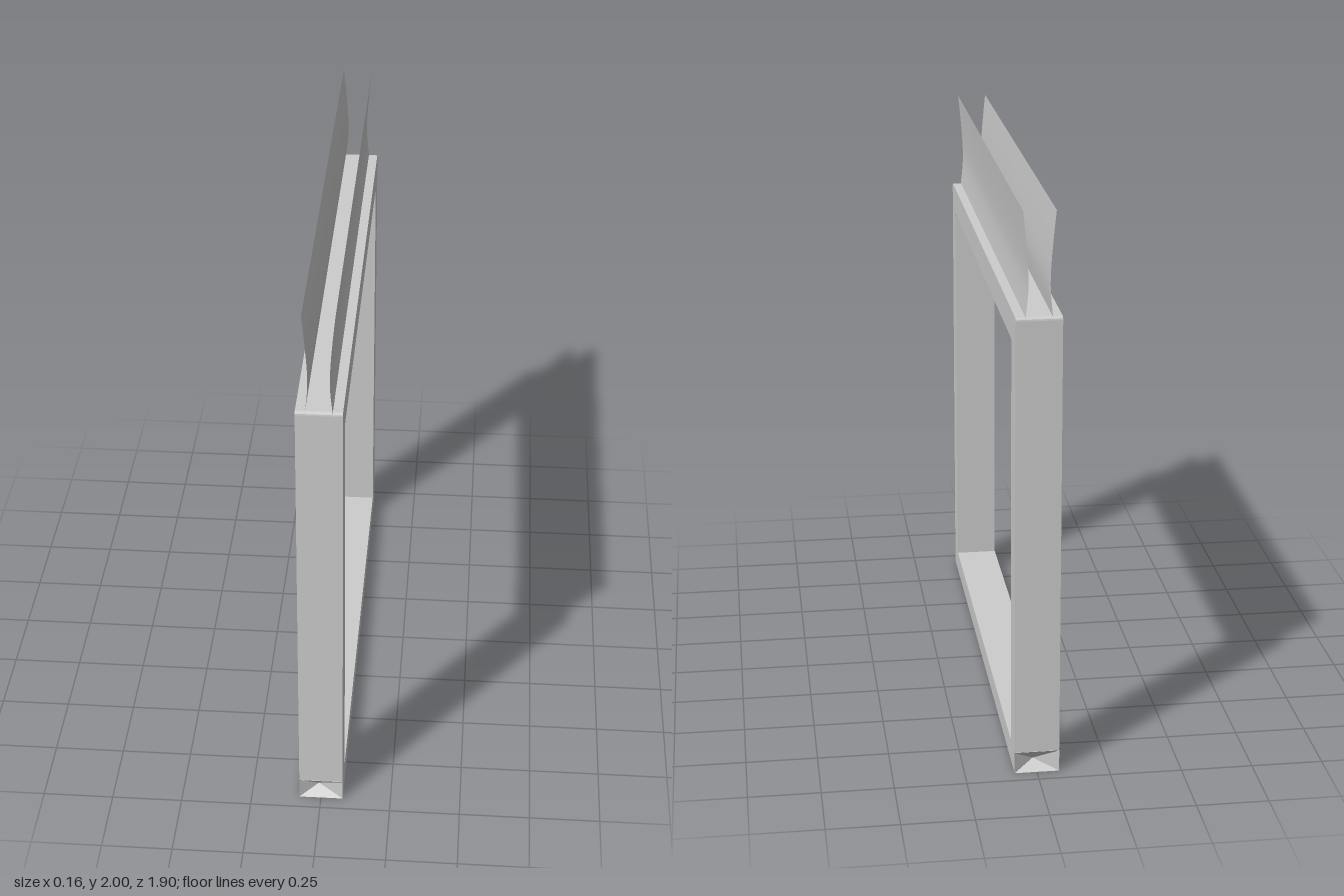
import * as THREE from 'three';

const HALF_W = 0.078;   // half thickness of the frame along x
const HALF_L = 0.946;   // half length along z
const SILL = 0.078;     // height of the bottom bar
const TOP = 1.645;

// Upright posts and top rail as one arch, drawn in (z, y) and extruded along x
function archGeometry() {
  const r = 0.012, inner = 0.845, under = 1.545;
  const s = new THREE.Shape();
  s.moveTo(-HALF_L, SILL);
  s.lineTo(-inner, SILL);
  s.lineTo(-inner, under - r);
  s.quadraticCurveTo(-inner, under, -inner + r, under);
  s.lineTo(inner - r, under);
  s.quadraticCurveTo(inner, under, inner, under - r);
  s.lineTo(inner, SILL);
  s.lineTo(HALF_L, SILL);
  s.lineTo(HALF_L, TOP - r);
  s.quadraticCurveTo(HALF_L, TOP, HALF_L - r, TOP);
  s.lineTo(-HALF_L + r, TOP);
  s.quadraticCurveTo(-HALF_L, TOP, -HALF_L, TOP - r);
  const g = new THREE.ExtrudeGeometry(s, { depth: HALF_W * 2, bevelEnabled: false, curveSegments: 4 });
  g.rotateY(-Math.PI / 2);
  g.translate(HALF_W, 0, 0);
  return g;
}

// Bottom bar: a box whose two end faces are dented inward to a point
function sillGeometry() {
  const w = HALF_W, l = HALF_L + 0.002, h = SILL;
  const p = [
    [-w, 0, l], [w, 0, l], [w, h, l], [-w, h, l],
    [-w, 0, -l], [w, 0, -l], [w, h, -l], [-w, h, -l],
    [-0.01, 0.035, l - 0.04], [0.01, 0.035, -l + 0.04],
  ];
  const quads = [[3, 2, 6, 7], [0, 4, 5, 1], [1, 5, 6, 2], [4, 0, 3, 7]];
  const tris = quads.flatMap(([a, b, c, d]) => [a, b, c, a, c, d]);
  // dented ends as fans around the inner point
  for (const [ring, tip] of [[[0, 1, 2, 3], 8], [[5, 4, 7, 6], 9]]) {
    ring.forEach((a, i) => tris.push(a, ring[(i + 1) % 4], tip));
  }
  const g = new THREE.BufferGeometry();
  g.setAttribute('position', new THREE.Float32BufferAttribute(tris.flatMap((i) => p[i]), 3));
  g.computeVertexNormals();
  return g;
}

// Thin upright sheet, pinched at mid height and flaring at the top
function flapGeometry(side) {
  const bottom = 1.635, height = 2 - bottom;
  const profile = new THREE.SplineCurve([
    new THREE.Vector2(0.046, 0), new THREE.Vector2(0.037, 0.25),
    new THREE.Vector2(0.037, 0.45), new THREE.Vector2(0.044, 0.72),
    new THREE.Vector2(0.054, 1),
  ]);
  const rows = 16;
  const g = new THREE.PlaneGeometry(HALF_L * 2, height, 1, rows);
  g.rotateY(side * Math.PI / 2);
  const pos = g.attributes.position;
  for (let i = 0; i < pos.count; i++) {
    const q = profile.getPoint(1 - Math.floor(i / 2) / rows);
    pos.setX(i, side * q.x);
    pos.setY(i, bottom + height * q.y);
  }
  g.computeVertexNormals();
  return g;
}

export function createModel() {
  const grey = new THREE.MeshStandardMaterial({ color: 0xcccccc });
  grey.name = 'light grey';
  grey.side = THREE.DoubleSide;

  const model = new THREE.Group();
  model.name = 'openFrameWithFlaps';
  const add = (name, geometry) => {
    const mesh = new THREE.Mesh(geometry, grey);
    mesh.name = name;
    model.add(mesh);
  };

  add('postsAndTopRail', archGeometry());
  add('bottomBar', sillGeometry());
  add('leftFlap', flapGeometry(1));
  add('rightFlap', flapGeometry(-1));
  return model;
}
